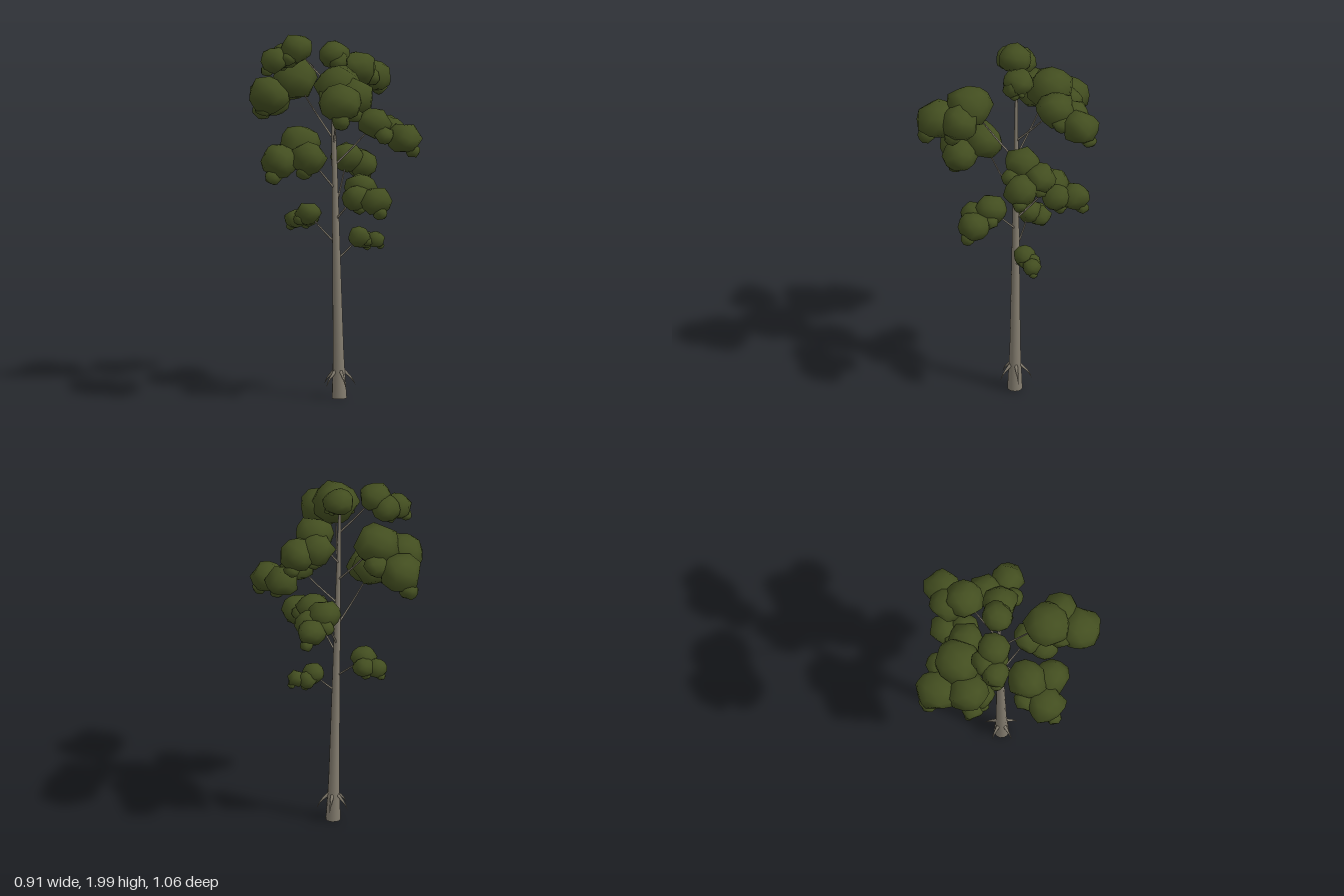
import * as THREE from 'three';
import { mergeVertices } from 'three/addons/utils/BufferGeometryUtils.js';

const bark = new THREE.MeshStandardMaterial({ color: 0x857e70 });
bark.name = 'bark';
const leaf = new THREE.MeshStandardMaterial({ color: 0x434e20 });
leaf.name = 'leaf green';

let seed = 7;
const rand = () => {
  seed = (seed * 16807) % 2147483647;
  return seed / 2147483647;
};
const vec = (x, y, z) => new THREE.Vector3(x, y, z);

function addMesh(parent, name, geometry, material) {
  const mesh = new THREE.Mesh(geometry, material);
  mesh.name = name;
  parent.add(mesh);
  return mesh;
}

// Tube whose radius follows radiusAt(t), by scaling each ring about the path
function taperedTube(points, radiusAt, segments, sides) {
  const curve = new THREE.CatmullRomCurve3(points);
  const geo = new THREE.TubeGeometry(curve, segments, 1, sides);
  const pos = geo.attributes.position;
  const v = vec(0, 0, 0);
  for (let i = 0; i <= segments; i++) {
    const c = curve.getPointAt(i / segments);
    for (let j = 0; j <= sides; j++) {
      const k = i * (sides + 1) + j;
      v.fromBufferAttribute(pos, k).sub(c).multiplyScalar(radiusAt(i / segments)).add(c);
      pos.setXYZ(k, v.x, v.y, v.z);
    }
  }
  return geo;
}

// Lumpy low-poly puff with an irregular outline
function addPuff(parent, center, r) {
  let geo = new THREE.IcosahedronGeometry(1, 1);
  geo.deleteAttribute('uv');
  geo.deleteAttribute('normal');
  geo = mergeVertices(geo, 1e-3);
  const pos = geo.attributes.position;
  for (let i = 0; i < pos.count; i++) {
    const s = 0.86 + 0.25 * rand();
    pos.setXYZ(i, pos.getX(i) * s, pos.getY(i) * s, pos.getZ(i) * s);
  }
  geo.computeVertexNormals();
  const puff = addMesh(parent, 'foliage', geo, leaf);
  puff.position.copy(center);
  puff.rotation.y = rand() * Math.PI * 2;
  puff.scale.set(r * 1.05, r * 0.94, r * 1.05);
}

const trunkAt = (y) => vec(0.05 - 0.016 * y, y, 0.025 - 0.014 * y);

// Each bough: height on trunk, inner puff, outer puff (x, y, z, radius), sideways lean
const boughs = [
  [1.42, -0.085, 1.72, -0.27, 0.12, -0.16, 1.6, -0.42, 0.113, -1.1],
  [1.7, -0.15, 1.92, -0.09, 0.083, -0.27, 1.86, -0.12, 0.074, 0.65],
  [1.8, 0.03, 1.89, -0.01, 0.08, 0.07, 1.87, 0, 0.04, 0.4],
  [1.52, 0.225, 1.78, -0.13, 0.102, 0.355, 1.71, -0.21, 0.094, -0.65],
  [1.04, 0.17, 1.29, -0.14, 0.085, 0.28, 1.24, -0.22, 0.078, 0.8],
  [1.28, 0.235, 1.51, 0.08, 0.092, 0.37, 1.43, 0.17, 0.088, -1.1],
  [0.98, 0.1, 1.19, 0.2, 0.082, 0.13, 1.13, 0.325, 0.083, 0.8],
  [1.4, -0.055, 1.77, 0.25, 0.12, -0.115, 1.7, 0.41, 0.113, -0.65],
  [1.15, -0.21, 1.43, 0.08, 0.104, -0.35, 1.35, 0.14, 0.101, -1.15],
  [0.85, -0.065, 1.0, -0.13, 0.065, -0.11, 0.96, -0.2, 0.055, 0.8],
  [0.76, 0.165, 0.88, 0.03, 0.06, 0.26, 0.86, 0.04, 0.047, -0.4],
];

function makeBough([from, hx, hy, hz, hr, tx, ty, tz, tr, lean]) {
  const bough = new THREE.Group();
  bough.name = 'bough';
  const hub = vec(hx, hy, hz);
  const tip = vec(tx, ty, tz);
  const out = vec(tx - hx, 0, tz - hz).normalize();
  const across = vec(-out.z, 0, out.x);

  // Branch rising from the trunk to the inner puff
  const start = trunkAt(from);
  const bend = start.clone().lerp(hub, 0.5);
  bend.y -= 0.006;
  addMesh(bough, 'branch', taperedTube([start, bend, hub], (t) => 0.006 - 0.003 * t, 8, 6), bark);

  // Puff on either side, and small ones hanging below
  const sideRadius = 0.47 * (hr + tr);
  const middle = hub.clone().lerp(tip, 0.4);
  middle.y -= 0.25 * hr;
  const side = middle.clone().addScaledVector(across, lean * hr);
  const farSide = middle.clone().addScaledVector(across, -0.6 * lean * hr);
  const below = (center, forward, r) =>
    center.clone().addScaledVector(out, forward * r).add(vec(0, -0.75 * r, 0));
  const outer = [
    [tip, tr],
    [side, sideRadius],
    [farSide, 0.6 * sideRadius],
    [below(tip, 0.55, tr), 0.45 * tr],
    [below(side, 0.3, sideRadius), 0.45 * sideRadius],
  ];

  addPuff(bough, hub, hr);
  for (const [center, radius] of outer) {
    const half = hub.clone().lerp(center, 0.5);
    addMesh(bough, 'twig', taperedTube([hub, half, center], () => 0.003, 3, 5), bark);
    addPuff(bough, center, radius);
  }
  return bough;
}

export function createModel() {
  const tree = new THREE.Group();
  tree.name = 'tree';

  // Trunk with a flared foot
  const trunkRadius = (t) => 0.033 - 0.026 * t + 0.008 * Math.max(0, 1 - t * 8);
  const trunkPoints = [0, 0.6, 1.2, 1.86].map(trunkAt);
  addMesh(tree, 'trunk', taperedTube(trunkPoints, trunkRadius, 20, 12), bark);
  const foot = addMesh(tree, 'trunkFoot', new THREE.CircleGeometry(0.041, 12).rotateX(Math.PI / 2), bark);
  foot.position.copy(trunkAt(0));

  // Drooping root spurs around the base
  const roots = new THREE.Group();
  roots.name = 'rootSpurs';
  for (let i = 0; i < 5; i++) {
    const a = (i / 5 + 0.25) * Math.PI * 2;
    const spur = [[0.02, 0.155], [0.048, 0.13], [0.072, 0.105], [0.091, 0.07]].map(
      ([r, y]) => vec(0.048 + r * Math.cos(a), y, 0.023 + r * Math.sin(a)));
    addMesh(roots, 'rootSpur', taperedTube(spur, (t) => 0.011 * (1 - t) + 0.0005, 6, 6), bark);
  }
  tree.add(roots);

  for (const bough of boughs) tree.add(makeBough(bough));
  return tree;
}
